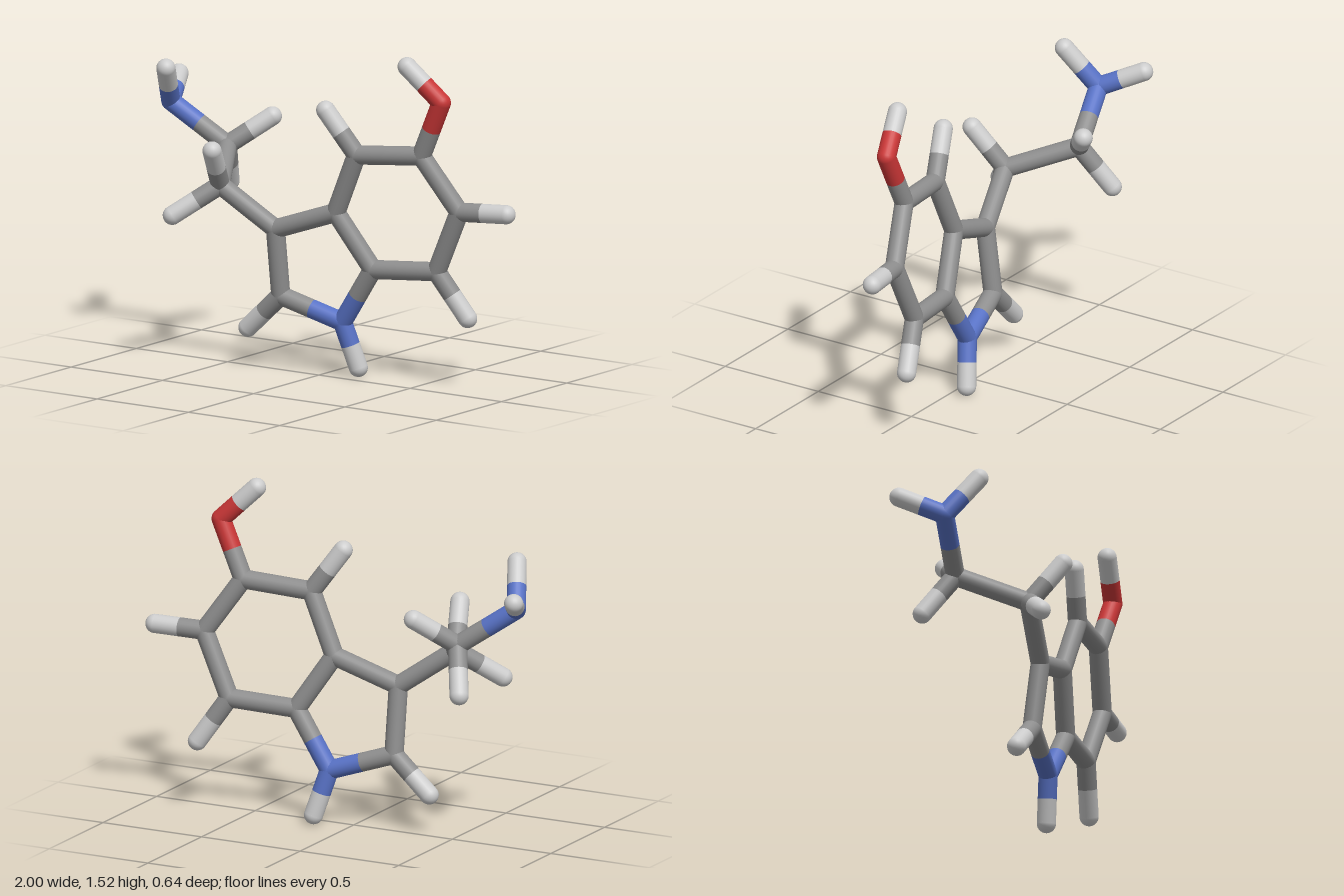
import * as THREE from 'three';

const RADIUS = 0.043;

const MATERIALS = {
  C: new THREE.MeshStandardMaterial({ name: 'carbon grey', color: 0x8e8e8e }),
  H: new THREE.MeshStandardMaterial({ name: 'hydrogen light grey', color: 0xcccccc }),
  N: new THREE.MeshStandardMaterial({ name: 'nitrogen blue', color: 0x5872c6 }),
  O: new THREE.MeshStandardMaterial({ name: 'oxygen red', color: 0xc93636 }),
};
const ELEMENTS = { C: 'carbon', H: 'hydrogen', N: 'nitrogen', O: 'oxygen' };

// The flat double ring and everything attached to it lie in one tilted plane
const flat = (el, x, y) => ({ el, p: new THREE.Vector3(x, y, -0.05 - 0.163 * x + 0.131 * y) });
const atom = (el, x, y, z) => ({ el, p: new THREE.Vector3(x, y, z) });

const ATOMS = {
  // five-sided ring
  c3: flat('C', -0.19, 0.655), c2: flat('C', -0.19, 0.345), n1: flat('N', 0.105, 0.25),
  c7a: flat('C', 0.275, 0.51), c3a: flat('C', 0.115, 0.76),
  // six-sided ring
  c4: flat('C', 0.24, 1.04), c5: flat('C', 0.56, 1.065),
  c6: flat('C', 0.725, 0.82), c7: flat('C', 0.59, 0.53),
  // ring hydrogens
  h1: flat('H', 0.165, 0.044), h2: flat('H', -0.365, 0.18), h4: flat('H', 0.105, 1.235),
  h6: flat('H', 0.956, 0.83), h7: flat('H', 0.725, 0.325),
  // hydroxyl
  o: flat('O', 0.68, 1.325), ho: flat('H', 0.525, 1.478),
  // side chain
  cb: flat('C', -0.445, 0.835), hb1: atom('H', -0.39, 1.02, 0.273), hb2: atom('H', -0.61, 0.7, 0.27),
  ca: atom('C', -0.61, 0.95, -0.153), ha1: atom('H', -0.455, 1.078, -0.28), ha2: atom('H', -0.687, 0.757, -0.28),
  // amine
  n: atom('N', -0.87, 1.13, -0.083), hn1: atom('H', -0.957, 1.215, -0.267), hn2: atom('H', -0.8, 1.31, 0.053),
};

const BONDS = {
  ringBonds: ['c3 c2', 'c2 n1', 'n1 c7a', 'c7a c3a', 'c3a c3', 'c3a c4', 'c4 c5', 'c5 c6', 'c6 c7', 'c7 c7a'],
  ringHydrogens: ['n1 h1', 'c2 h2', 'c4 h4', 'c6 h6', 'c7 h7'],
  hydroxyl: ['c5 o', 'o ho'],
  sideChain: ['c3 cb', 'cb hb1', 'cb hb2', 'cb ca', 'ca ha1', 'ca ha2'],
  amine: ['ca n', 'n hn1', 'n hn2'],
};

// Open cylinder between two points
function stick(from, to, el) {
  const dir = to.clone().sub(from);
  const mesh = new THREE.Mesh(
    new THREE.CylinderGeometry(RADIUS, RADIUS, dir.length(), 24, 1, true), MATERIALS[el]);
  mesh.position.copy(from).add(to).multiplyScalar(0.5);
  mesh.quaternion.setFromUnitVectors(new THREE.Vector3(0, 1, 0), dir.normalize());
  mesh.name = ELEMENTS[el] + 'HalfBond';
  return mesh;
}

export function createModel() {
  const model = new THREE.Group();
  model.name = 'stickMolecule';

  // Each bond changes colour at its midpoint
  for (const [name, pairs] of Object.entries(BONDS)) {
    const group = new THREE.Group();
    group.name = name;
    for (const pair of pairs) {
      const [a, b] = pair.split(' ').map((key) => ATOMS[key]);
      const mid = a.p.clone().lerp(b.p, 0.5);
      group.add(stick(a.p, mid, a.el), stick(mid, b.p, b.el));
    }
    model.add(group);
  }

  // Round joints and stick ends
  const joints = new THREE.Group();
  joints.name = 'joints';
  const ball = new THREE.SphereGeometry(RADIUS, 24, 16);
  for (const { el, p } of Object.values(ATOMS)) {
    const mesh = new THREE.Mesh(ball, MATERIALS[el]);
    mesh.position.copy(p);
    mesh.name = ELEMENTS[el] + 'Joint';
    joints.add(mesh);
  }
  model.add(joints);
  return model;
}
